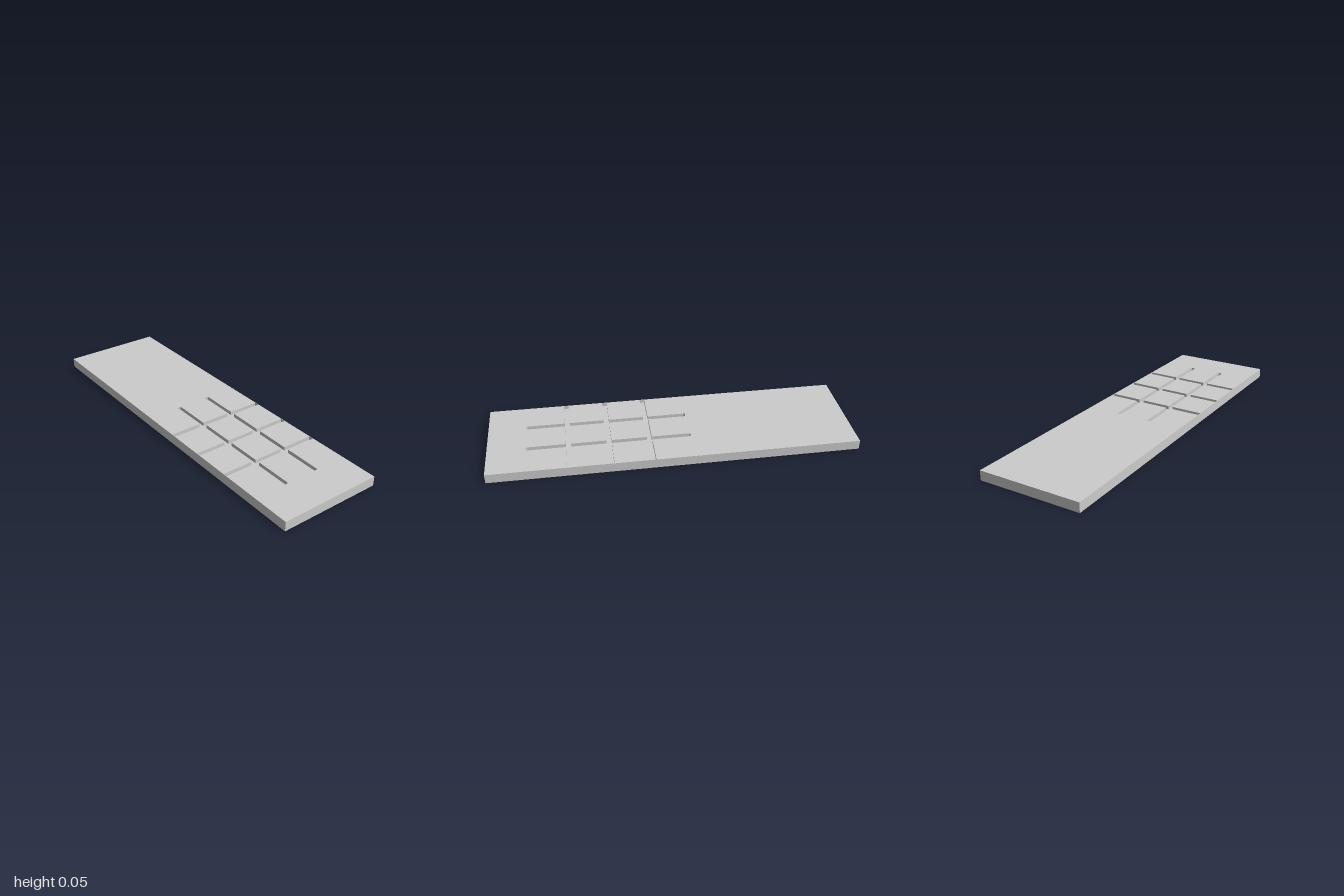
import * as THREE from 'three';

const HEIGHT = 0.053, HALF_X = 1, HALF_Z = 0.286;
const FLOOR = 0.033;                 // height of the groove floor
const HALF = 0.0135;                 // half the groove width
const CROSS = [0.127, 0.347, 0.567]; // x of the grooves running across
const LONG = 0.096;                  // +-z of the grooves running lengthwise
const X0 = -0.1, X1 = 0.794;         // ends of the lengthwise grooves
const RIM = 0.002;                   // thin skin left at the slab's edge
const R = 0.008;                     // corner radius of the groove ends

const V = (x, y) => new THREE.Vector2(x, y);
const rect = (x0, x1, y0, y1) => [V(x0, y0), V(x1, y0), V(x1, y1), V(x0, y1)];

// Quarter-circle corner, going clockwise from angle a (in quarter turns)
function corner(cx, cy, a) {
  return [0, 1, 2, 3, 4].map((i) => {
    const t = (a - i / 4) * Math.PI / 2;
    return V(cx + R * Math.cos(t), cy + R * Math.sin(t));
  });
}

// Clockwise outer outline of the groove grid: one half, then its mirror
function gridOutline() {
  const lo = LONG - HALF, hi = LONG + HALF, end = HALF_Z - RIM;
  const half = [
    V(CROSS[0] - HALF, lo),
    ...corner(X0 + R, lo + R, 3),
    ...corner(X0 + R, hi - R, 2),
  ];
  for (const x of CROSS) {
    half.push(V(x - HALF, hi), V(x - HALF, end), V(x + HALF, end), V(x + HALF, hi));
  }
  half.push(
    ...corner(X1 - R, hi - R, 1),
    ...corner(X1 - R, lo + R, 0),
    V(CROSS[2] + HALF, lo),
  );
  return [...half, ...half.map((p) => V(p.x, -p.y)).reverse()];
}

// Flat horizontal face with holes
function flat(outline, holes, y) {
  const shape = new THREE.Shape(outline);
  shape.holes = holes.map((h) => new THREE.Path(h));
  return new THREE.ShapeGeometry(shape).rotateX(-Math.PI / 2).translate(0, y, 0);
}

// Upright wall along a closed loop; faces outward when counter-clockwise
function wall(loop, y0, y1) {
  const pos = [];
  loop.forEach((a, i) => {
    const b = loop[(i + 1) % loop.length];
    pos.push(a.x, y0, -a.y, b.x, y0, -b.y, b.x, y1, -b.y);
    pos.push(a.x, y0, -a.y, b.x, y1, -b.y, a.x, y1, -a.y);
  });
  const geo = new THREE.BufferGeometry();
  geo.setAttribute('position', new THREE.Float32BufferAttribute(pos, 3));
  geo.computeVertexNormals();
  return geo;
}

export function createModel() {
  const model = new THREE.Group();
  model.name = 'groovedSlab';
  const material = new THREE.MeshStandardMaterial({ color: 0xcccccc });
  const add = (name, geo) => {
    const mesh = new THREE.Mesh(geo, material);
    mesh.name = name;
    model.add(mesh);
    return mesh;
  };

  const slab = rect(-HALF_X, HALF_X, -HALF_Z, HALF_Z);
  const grid = gridOutline();
  // Raised islands enclosed by the crossing grooves
  const islands = [0, 1].map((i) =>
    rect(CROSS[i] + HALF, CROSS[i + 1] - HALF, -LONG + HALF, LONG - HALF));

  // Slab body
  add('topFace', flat(slab, [grid], HEIGHT));
  add('sides', wall(slab, 0, HEIGHT));
  add('underside', flat(slab, [], 0).rotateX(Math.PI));

  // Sunken grooves
  add('grooveFloor', flat(grid, islands, FLOOR));
  add('grooveWalls', wall(grid, FLOOR, HEIGHT));
  for (const island of islands) {
    add('islandTop', flat(island, [], HEIGHT));
    add('islandWalls', wall(island, FLOOR, HEIGHT));
  }
  return model;
}
